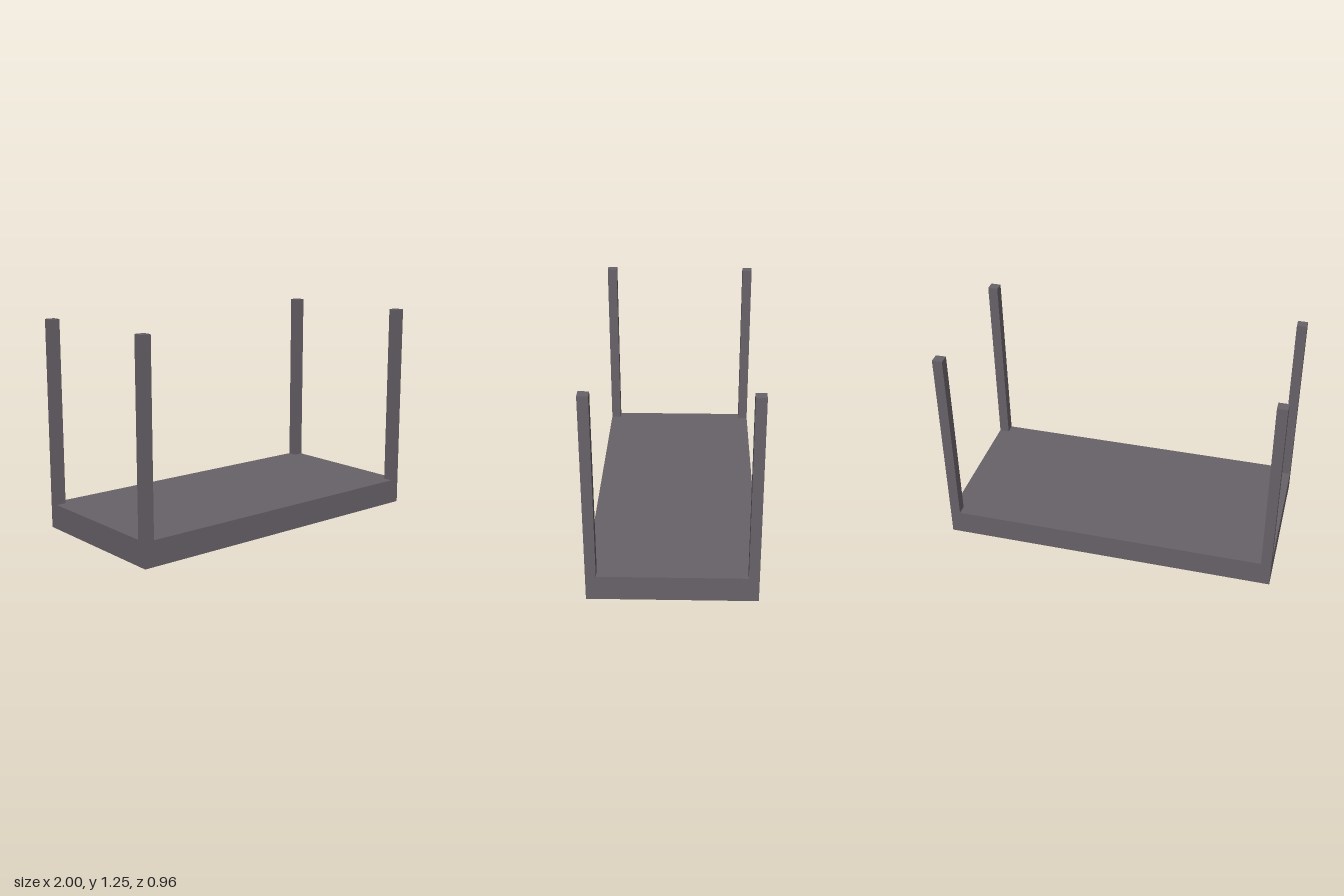
import * as THREE from 'three';

export function createModel() {
  const group = new THREE.Group();
  group.name = 'slabWithPosts';
  const material = new THREE.MeshStandardMaterial({ color: 0x686268 });

  const width = 2, depth = 0.96, slabHeight = 0.15, totalHeight = 1.25, post = 0.06;

  const addBox = (name, w, h, d, x, bottom, z) => {
    const mesh = new THREE.Mesh(new THREE.BoxGeometry(w, h, d), material);
    mesh.name = name;
    mesh.position.set(x, bottom + h / 2, z);
    group.add(mesh);
  };

  // Thick rectangular slab on the ground
  addBox('slab', width, slabHeight, depth, 0, 0, 0);

  // Square posts flush with the four corners
  for (const [xName, sx] of [['Left', 1], ['Right', -1]]) {
    for (const [zName, sz] of [['front', 1], ['back', -1]]) {
      addBox(`${zName}${xName}Post`, post, totalHeight - slabHeight, post,
        sx * (width - post) / 2, slabHeight, sz * (depth - post) / 2);
    }
  }
  return group;
}
